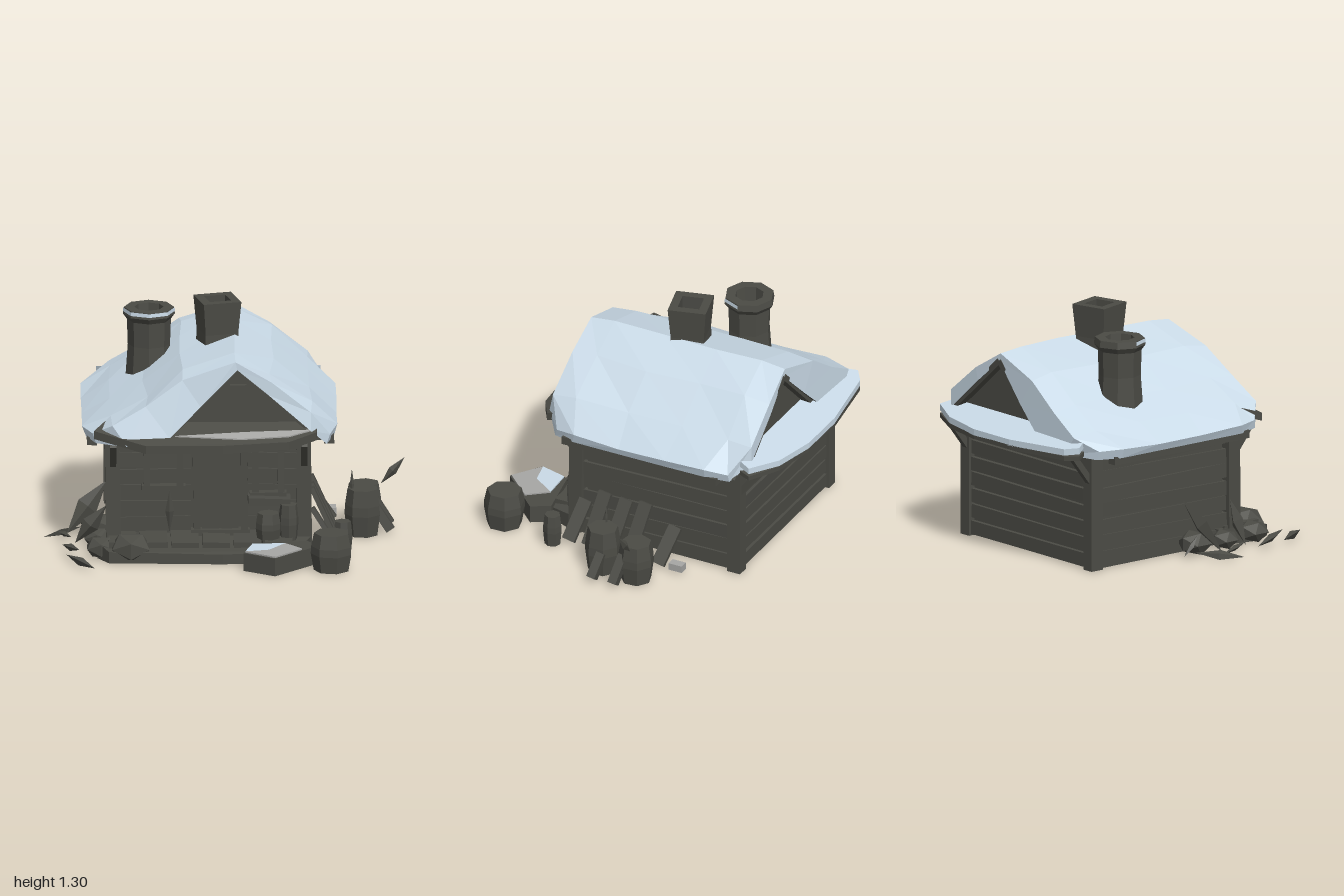
import * as THREE from 'three';

const timber = new THREE.MeshStandardMaterial({ color: 0x4b4b45 });
timber.name = 'dark timber';
const snow = new THREE.MeshStandardMaterial({ color: 0xcddeeb });
snow.name = 'snow';
const ash = new THREE.MeshStandardMaterial({ color: 0xa6a6a4 });
ash.name = 'pale grey';

export function createModel() {
  const root = new THREE.Group();
  root.name = 'snowyCabin';
  let seed = 7;
  const rand = () => (seed = (seed * 16807) % 2147483647) / 2147483647 - 0.5;

  // Faceted mesh
  const add = (name, geo, mat = timber) => {
    const flat = geo.index ? geo.toNonIndexed() : geo;
    flat.computeVertexNormals();
    const m = new THREE.Mesh(flat, mat);
    m.name = name;
    root.add(m);
    return m;
  };
  // Box given by its min and max corners, with a small random tilt
  const box = (name, x0, x1, y0, y1, z0, z1, mat = timber, tilt = 0) => {
    const m = add(name, new THREE.BoxGeometry(x1 - x0, y1 - y0, z1 - z0), mat);
    m.position.set((x0 + x1) / 2, (y0 + y1) / 2, (z0 + z1) / 2);
    m.rotation.set(rand() * tilt, rand() * tilt * 0.3, rand() * tilt);
    return m;
  };
  // Lay a geometry that runs along y between two points
  const between = (name, geo, a, b) => {
    const A = new THREE.Vector3(...a), B = new THREE.Vector3(...b);
    const m = add(name, geo);
    m.position.copy(A).add(B).multiplyScalar(0.5);
    m.quaternion.setFromUnitVectors(new THREE.Vector3(0, 1, 0), B.clone().sub(A).normalize());
    return m;
  };
  const dist = (a, b) => Math.hypot(a[0] - b[0], a[1] - b[1], a[2] - b[2]);
  const beam = (name, a, b, w, d = w) => between(name, new THREE.BoxGeometry(w, dist(a, b), d), a, b);
  const shard = (name, a, b, r) =>
    between(name, new THREE.OctahedronGeometry(1).scale(r, dist(a, b) / 2, r * 0.6), a, b);
  const lathe = (name, pts, sides, x, z, phi = 0, arc = Math.PI * 2, mat = timber) => {
    const m = add(name, new THREE.LatheGeometry(pts.map(p => new THREE.Vector2(...p)), sides, phi, arc), mat);
    m.position.set(x, 0, z);
    return m;
  };
  const barrel = (name, x, z, r, h, y = 0) => {
    lathe(name, [[0, 0], [r * 0.85, 0], [r, h * 0.45], [r * 0.98, h * 0.65], [r * 0.84, h], [0, h]], 7, x, z, x * 5).position.y = y;
  };
  // Slab from an x-z outline, with its height sloped by a rule
  const slab = (name, outline, h, lift, mat = timber) => {
    const s = new THREE.Shape(outline.map(([x, z]) => new THREE.Vector2(x, -z)));
    const g = new THREE.ExtrudeGeometry(s, { depth: h, bevelEnabled: false });
    g.rotateX(-Math.PI / 2);
    const p = g.attributes.position;
    for (let i = 0; i < p.count; i++) p.setY(i, lift(p.getX(i), p.getZ(i), p.getY(i)));
    return add(name, g, mat);
  };

  // House core, wall planks and corner posts
  box('houseCore', -0.6, 0.45, 0, 0.67, -0.61, 0.3);
  for (let i = 0; i < 7; i++) {
    const y = 0.01 + i * 0.09, o = () => Math.abs(rand()) * 0.03;
    box('backLog', -0.6, 0.45, y, y + 0.075, -0.63 - o() * 0.5, -0.58, timber, 0.02);
    box('rightWallPlank', 0.42, 0.455 + o(), y, y + 0.08, -0.61, 0.36, timber, 0.05);
    box('leftWallPlank', -0.605 - o(), -0.57, y, y + 0.08, -0.61, 0.36, timber, 0.05);
    box('frontPlank', -0.57, -0.17, y, y + 0.08, 0.28, 0.305 + o(), timber, 0.05);
    box('frontPlank', 0.14, 0.42, y, y + 0.08, 0.28, 0.305 + o(), timber, 0.05);
  }
  for (const x of [-0.595, 0.445]) {
    box('frontPost', x - 0.04, x + 0.04, 0, 0.66, 0.32, 0.4, timber, 0.04);
    box('backPost', x - 0.035, x + 0.035, 0, 0.66, -0.65, -0.57);
    beam('frontEaveBrace', [x, 0.48, 0.37], [x, 0.64, 0.5], 0.035);
    beam('backEaveBrace', [x, 0.48, -0.62], [x, 0.65, -0.75], 0.035);
  }
  box('porchBeam', -0.62, 0.48, 0.59, 0.67, 0.3, 0.42);

  // Door and windows
  box('door', -0.11, 0.09, 0.1, 0.58, 0.3, 0.33);
  for (const x of [-0.045, 0.025]) box('doorPlank', x - 0.028, x + 0.028, 0.11, 0.57, 0.32, 0.337);
  const frame = (name, x0, x1, y0, y1) => {
    for (const x of [x0, x1]) box(name + 'Jamb', x - 0.018, x + 0.018, y0, y1, 0.29, 0.36, timber, 0.04);
    for (const y of [y0, y1]) box(name + 'Rail', x0 - 0.03, x1 + 0.03, y - 0.018, y + 0.018, 0.29, 0.365, timber, 0.05);
  };
  frame('door', -0.14, 0.12, 0.1, 0.6);
  frame('leftWindow', -0.41, -0.23, 0.35, 0.58);
  frame('rightWindow', 0.18, 0.32, 0.31, 0.58);
  box('windowSill', 0.14, 0.37, 0.27, 0.31, 0.3, 0.42, timber, 0.08);

  // Snow roof lofted along z, with a timber underside
  const outer = [[-0.76, 0.69], [-0.6, 0.775], [-0.42, 0.88], [-0.22, 1.02], [0.07, 1.115], [0.27, 1.0], [0.48, 0.835], [0.63, 0.69]];
  const inner = [[-0.74, 0.64], [-0.52, 0.67], [-0.29, 0.71], [-0.12, 0.87], [0.08, 1.07], [0.25, 0.93], [0.48, 0.735], [0.61, 0.64]];
  const outerFront = [0.44, 0.54, 0.53, 0.5, 0.48, 0.49, 0.5, 0.42];
  const innerFront = [0.46, 0.595, 0.57, 0.51, 0.48, 0.49, 0.52, 0.44];
  const zBack = [-0.66, -0.75, -0.74, -0.73, -0.71, -0.72, -0.72, -0.63];
  const stations = [0, 0.12, 0.38, 0.65, 0.88, 1];
  const rows = (profile, zFront, wobble) => stations.map((t, j) => profile.map(([x, y], i) => {
    const end = t === 0 || t === 1;
    const w = end ? 0 : wobble;
    return [end && i % 7 === 0 ? x * 0.93 : x + rand() * w * (i % 7 ? 1 : 0.3),
      y - (end && i > 0 ? 0.015 : 0) + rand() * w * (i === 4 ? 0.2 : 0.6),
      THREE.MathUtils.lerp(zFront[i], zBack[i], t)];
  }));
  const top = rows(outer, outerFront, 0.03), under = rows(inner, innerFront, 0);
  const strip = (out, A, B) => {
    for (let i = 0; i < A.length - 1; i++)
      out.push(...A[i], ...A[i + 1], ...B[i + 1], ...A[i], ...B[i + 1], ...B[i]);
  };
  const surface = (name, fill, mat) => {
    const v = [], g = new THREE.BufferGeometry();
    fill(v);
    g.setAttribute('position', new THREE.Float32BufferAttribute(v, 3));
    add(name, g, mat);
  };
  const last = stations.length - 1, column = (r, i) => r.map(row => row[i]);
  surface('roofSnow', v => {
    for (let j = 0; j < last; j++) strip(v, top[j], top[j + 1]);
    strip(v, under[0], top[0]);
    strip(v, top[last], under[last]);
    strip(v, column(under, 7), column(top, 7));
    strip(v, column(top, 0), column(under, 0));
  }, snow);
  surface('roofUnderside', v => {
    for (let j = 0; j < last; j++) strip(v, under[j + 1], under[j]);
  }, timber);

  // Eave boards and rafter ends
  for (const [x0, x1, wall] of [[-0.735, -0.68, -0.6], [0.555, 0.61, 0.45]]) {
    box('eaveBoard', x0, x1, 0.605, 0.65, -0.57, 0.38, timber, 0.02);
    for (let i = 0; i < 8; i++) {
      const z = -0.55 + i * 0.125;
      beam('rafterEnd', [wall, 0.67, z], [(x0 + x1) / 2, 0.63, z], 0.035);
    }
  }

  // Gables with rafters and a small vent
  const tri = new THREE.Shape([[-0.36, 0.64], [0.56, 0.64], [0.08, 1.075]].map(p => new THREE.Vector2(...p)));
  for (const [name, z] of [['frontGable', 0.38], ['backGable', -0.66]])
    add(name, new THREE.ExtrudeGeometry(tri, { depth: 0.04, bevelEnabled: false })).position.z = z;
  for (const z of [0.455, -0.69]) {
    beam('gableRafter', [-0.28, 0.7, z], [0.08, 1.055, z], 0.035, 0.05);
    beam('gableRafter', [0.5, 0.7, z], [0.08, 1.055, z], 0.035, 0.05);
  }
  box('gableVent', 0.04, 0.13, 0.78, 0.96, 0.4, 0.445);

  // Sloped skirts under both gables
  const frontSlope = z => Math.max(0, 0.64 - z) * 0.32;
  slab('frontSkirt', [[-0.62, 0.38], [-0.7, 0.5], [-0.42, 0.645], [0, 0.645], [0.36, 0.61], [0.51, 0.52], [0.52, 0.38]],
    0.045, (x, z, y) => 0.63 + y + frontSlope(z));
  slab('skirtPaleStrip', [[-0.26, 0.56], [0.1, 0.59], [0.36, 0.565], [0.49, 0.505], [0.12, 0.525]],
    0.007, (x, z, y) => 0.675 + y + frontSlope(z), ash);
  const backOutline = [[-0.6, -0.66], [0.52, -0.66], [0.55, -0.74], [0.36, -0.83], [0.1, -0.875], [-0.2, -0.875], [-0.6, -0.82], [-0.67, -0.77]];
  slab('backSkirtSnow', backOutline, 0.035, (x, z, y) => 0.66 + y + (z + 0.88) * 0.25, snow);
  slab('backSkirt', backOutline, 0.025, (x, z, y) => 0.64 + y + (z + 0.88) * 0.1);

  // Chimneys with open flues
  lathe('squareChimney', [[0.135, 0.95], [0.13, 1.12], [0.15, 1.3], [0.085, 1.3], [0.085, 1.16], [0, 1.16]],
    4, -0.02, -0.085, Math.PI / 3);
  lathe('roundChimney', [[0.13, 0.78], [0.115, 1.0], [0.12, 1.14], [0.142, 1.17], [0.136, 1.207], [0.08, 1.207], [0.07, 1.08], [0, 1.08]],
    8, -0.39, -0.25);
  lathe('chimneySnowRim', [[0.142, 1.183], [0.14, 1.203]], 4, -0.39, -0.25, -Math.PI / 2, Math.PI, snow);

  // Porch deck and the step in front of it
  slab('porchDeck', [[-0.63, 0.25], [-0.68, 0.5], [-0.62, 0.6], [0, 0.63], [0.4, 0.6], [0.48, 0.4], [0.48, 0.25]],
    0.09, (x, z, y) => y * (1 - Math.max(0, z - 0.5) * 3));
  for (let i = 0; i < 6; i++)
    box('deckBoard', -0.62 + i * 0.17, -0.47 + i * 0.17, 0.06, 0.1, 0.3, 0.54, timber, 0.08);
  slab('step', [[0.11, 0.76], [0.28, 0.87], [0.52, 0.62], [0.46, 0.52], [0.16, 0.58]], 0.1, (x, z, y) => y);
  slab('stepSnow', [[0.12, 0.75], [0.25, 0.72], [0.34, 0.59], [0.16, 0.6]], 0.008, (x, z, y) => 0.1 + y, snow);
  slab('stepPaleTop', [[0.12, 0.75], [0.28, 0.86], [0.43, 0.7], [0.34, 0.59], [0.25, 0.72]], 0.008, (x, z, y) => 0.1 + y, ash);

  // Barrels, pots and stakes
  barrel('frontBarrel', 0.59, 0.74, 0.115, 0.21);
  barrel('sideBarrel', 0.77, 0.04, 0.1, 0.26);
  barrel('sideBarrel', 0.78, -0.17, 0.1, 0.23);
  barrel('porchPot', 0.25, 0.45, 0.07, 0.16, 0.08);
  barrel('porchPot', 0.36, 0.42, 0.055, 0.2, 0.08);
  barrel('stump', 0.655, 0.41, 0.052, 0.18);
  beam('stake', [0.92, 0.02, -0.1], [0.83, 0.16, -0.12], 0.05);
  beam('stake', [0.92, 0.02, 0.03], [0.84, 0.14, 0.01], 0.05);
  shard('barrelBlade', [0.87, 0.22, -0.18], [1, 0.37, -0.18], 0.025);

  // Planks leaning on the side wall
  for (const [z, h] of [[0.3, 0.22], [0.18, 0.3], [0.05, 0.29], [-0.07, 0.3], [-0.25, 0.2]])
    beam('leaningPlank', [0.62, 0.02, z + 0.03], [0.49, h, z - 0.01], 0.025, 0.075);
  box('paleScrap', 0.58, 0.63, 0.01, 0.05, -0.37, -0.29, ash);

  // Rubble and broken splinters along the other side
  const rocks = [[-0.66, 0.47, 0.09], [-0.68, 0.25, 0.08], [-0.5, 0.53, 0.12], [-0.67, 0.05, 0.1]];
  for (const [x, z, r] of rocks) {
    const m = add('rubble', new THREE.IcosahedronGeometry(r, 0));
    m.position.set(x, r * 0.6, z);
    m.scale.y = 0.7;
  }
  const splinters = [
    [[-0.84, 0.03, 0.1], [-0.62, 0.3, 0], 0.06], [[-0.8, 0.03, 0.3], [-0.63, 0.25, 0.33], 0.05],
    [[-0.76, 0.03, -0.02], [-0.97, 0.02, 0.15], 0.03], [[-0.89, 0.03, 0.06], [-0.82, 0.06, 0.29], 0.025],
    [[-0.87, 0.03, 0.33], [-0.78, 0.07, 0.58], 0.035], [[-0.85, 0.03, 0.53], [-0.7, 0.02, 0.77], 0.04],
    [[-0.75, 0.12, 0], [-0.76, 0.02, -0.1], 0.02], [[-0.29, 0.17, 0.59], [-0.29, 0.42, 0.61], 0.024],
    [[0.71, 0.2, 0.05], [0.71, 0.37, 0.05], 0.012],
  ];
  for (const [a, b, r] of splinters) shard('splinter', a, b, r);

  return root;
}
